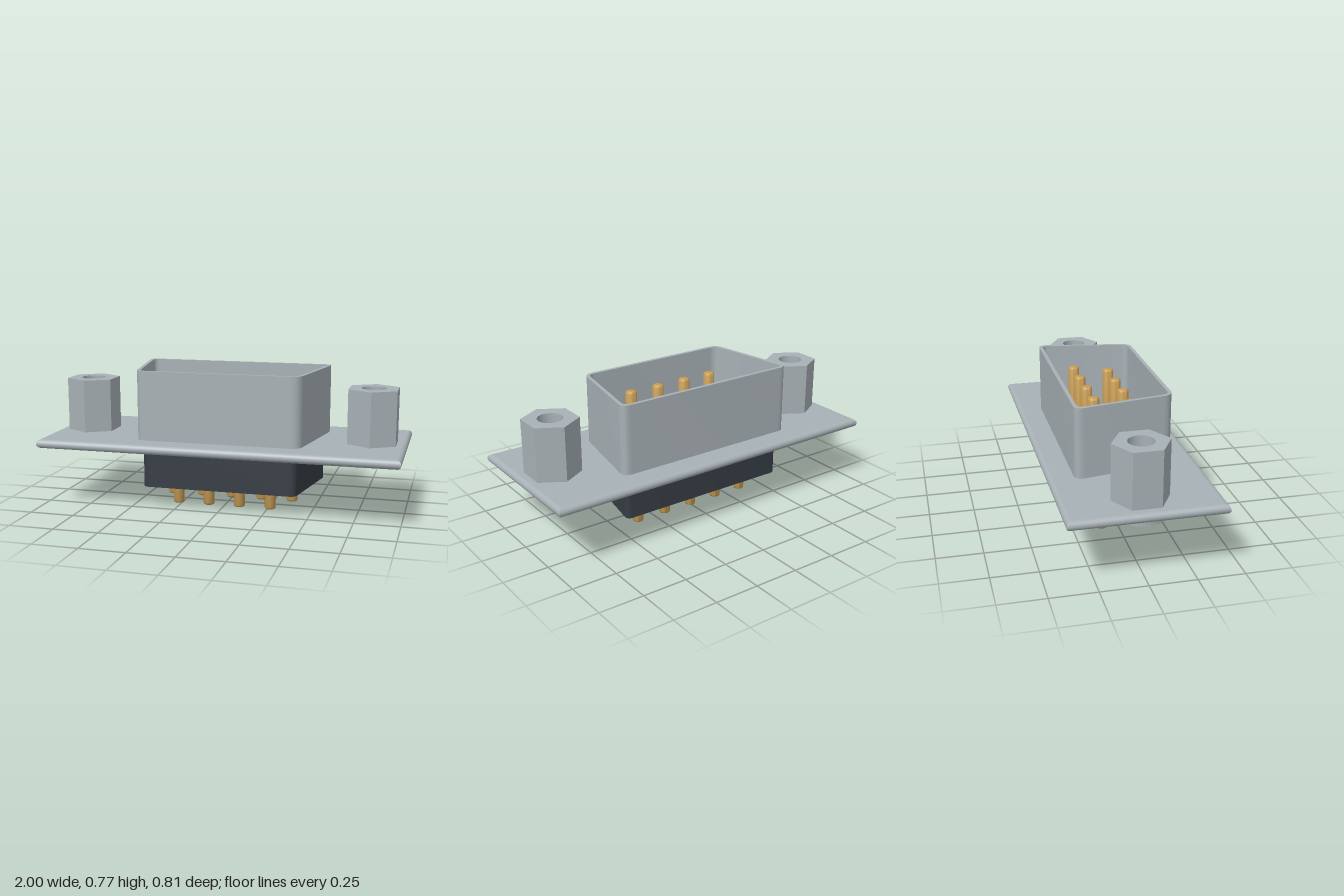
import * as THREE from 'three';
import { toCreasedNormals } from 'three/addons/utils/BufferGeometryUtils.js';

const steel = new THREE.MeshStandardMaterial({ color: 0xa8b1b6 });
steel.name = 'steel grey';
const plastic = new THREE.MeshStandardMaterial({ color: 0x373d45 });
plastic.name = 'dark plastic';
const gold = new THREE.MeshStandardMaterial({ color: 0xc89d54 });
gold.name = 'gold';

const SCREW_X = 0.813;
const PIN_R = 0.031;

// Rounded D outline: half depth d, half width m at the middle, wider at the back
function dOutline(target, d, m, round) {
  const lean = d * 0.176;
  const corners = [[-m + lean, -d], [m - lean, -d], [m + lean, d], [-m - lean, d]]
    .map(([x, y]) => new THREE.Vector2(x, y));
  corners.forEach((c, i) => {
    const prev = corners[(i + 3) % 4], next = corners[(i + 1) % 4];
    const a = prev.clone().sub(c).setLength(round).add(c);
    const b = next.clone().sub(c).setLength(round).add(c);
    if (i === 0) target.moveTo(a.x, a.y);
    else target.lineTo(a.x, a.y);
    target.quadraticCurveTo(c.x, c.y, b.x, b.y);
  });
  target.closePath();
  return target;
}

function circle(x, y, r) {
  return new THREE.Path().absarc(x, y, r, 0, Math.PI * 2, true);
}

// Upright extrusion between two heights, smooth on curves and sharp on edges
function prism(shape, y0, y1, bevel = 0) {
  const g = new THREE.ExtrudeGeometry(shape, {
    depth: y1 - y0 - 2 * bevel, curveSegments: 16, bevelEnabled: bevel > 0,
    bevelSize: bevel, bevelThickness: bevel, bevelOffset: -bevel, bevelSegments: 2,
  });
  g.rotateX(-Math.PI / 2).translate(0, y0 + bevel, 0);
  return toCreasedNormals(g, 0.6);
}

// Half-round border with mitred corners around a rectangle
function roundBorder(hx, hz, r, y) {
  const pos = [], idx = [], steps = 10;
  const signs = [[-1, 1], [1, 1], [1, -1], [-1, -1]];
  for (let side = 0; side < 4; side++) {
    const base = pos.length / 3;
    for (let k = 0; k <= steps; k++) {
      const t = -Math.PI / 2 + (Math.PI * k) / steps;
      for (const [sx, sz] of [signs[side], signs[(side + 1) % 4]]) {
        pos.push(sx * (hx + r * Math.cos(t)), y + r * Math.sin(t), sz * (hz + r * Math.cos(t)));
      }
      if (k < steps) {
        const a = base + k * 2;
        idx.push(a, a + 1, a + 3, a, a + 3, a + 2);
      }
    }
  }
  const g = new THREE.BufferGeometry();
  g.setAttribute('position', new THREE.Float32BufferAttribute(pos, 3));
  g.setIndex(idx);
  g.computeVertexNormals();
  return g;
}

export function createModel() {
  const model = new THREE.Group();
  model.name = 'connector';
  const add = (name, geometry, material) => {
    const mesh = new THREE.Mesh(geometry, material);
    mesh.name = name;
    model.add(mesh);
    return mesh;
  };

  // Flange plate with the D opening and two screw holes
  const hx = 0.975, hz = 0.38;
  const plate = new THREE.Shape()
    .moveTo(-hx, -hz).lineTo(hx, -hz).lineTo(hx, hz).lineTo(-hx, hz).closePath();
  plate.holes.push(dOutline(new THREE.Path(), 0.25, 0.482, 0.04));
  for (const s of [-1, 1]) plate.holes.push(circle(s * SCREW_X, 0, 0.1));
  add('flange', prism(plate, 0.34, 0.39), steel);
  add('flangeBorder', roundBorder(hx, hz, 0.025, 0.365), steel);

  // Open metal shell
  const shell = dOutline(new THREE.Shape(), 0.27, 0.502, 0.055);
  shell.holes.push(dOutline(new THREE.Path(), 0.25, 0.482, 0.04));
  add('shell', prism(shell, 0.388, 0.775), steel);

  // Pin positions: five at the back, four at the front
  const pins = [];
  for (let i = 0; i < 5; i++) pins.push([(i - 2) * 0.178 - 0.003, -0.093]);
  for (let i = 0; i < 4; i++) pins.push([(i - 1.5) * 0.178 - 0.003, 0.092]);

  // Insulating body, with clearance around every pin
  const body = dOutline(new THREE.Shape(), 0.24, 0.473, 0.035);
  for (const [x, z] of pins) body.holes.push(circle(x, -z, PIN_R + 0.005));
  add('insulator', prism(body, 0.118, 0.39), plastic);

  // Contact pins with softened ends
  const r = PIN_R, e = 0.01, top = 0.692;
  const profile = [[0, 0], [r - e, 0], [r - 0.003, 0.003], [r, e],
    [r, top - e], [r - 0.003, top - 0.003], [r - e, top], [0, top]]
    .map(([x, y]) => new THREE.Vector2(x, y));
  const pinGeometry = toCreasedNormals(new THREE.LatheGeometry(profile, 24), 0.9);
  for (const [x, z] of pins) add('pin', pinGeometry, gold).position.set(x, 0, z);

  // Hexagonal standoffs above and ring collars below
  const hex = new THREE.Shape();
  for (let i = 0; i < 6; i++) {
    const a = Math.PI / 2 + (i * Math.PI) / 3;
    hex[i ? 'lineTo' : 'moveTo'](0.151 * Math.cos(a), 0.151 * Math.sin(a));
  }
  hex.closePath();
  hex.holes.push(circle(0, 0, 0.068));
  const standoff = prism(hex, 0.388, 0.69);
  const ring = new THREE.Shape().absarc(0, 0, 0.14, 0, Math.PI * 2, false);
  ring.holes.push(circle(0, 0, 0.104));
  const collar = prism(ring, 0.303, 0.342);
  for (const s of [-1, 1]) {
    add('standoff', standoff, steel).position.x = s * SCREW_X;
    add('collar', collar, steel).position.x = s * SCREW_X;
  }
  return model;
}
